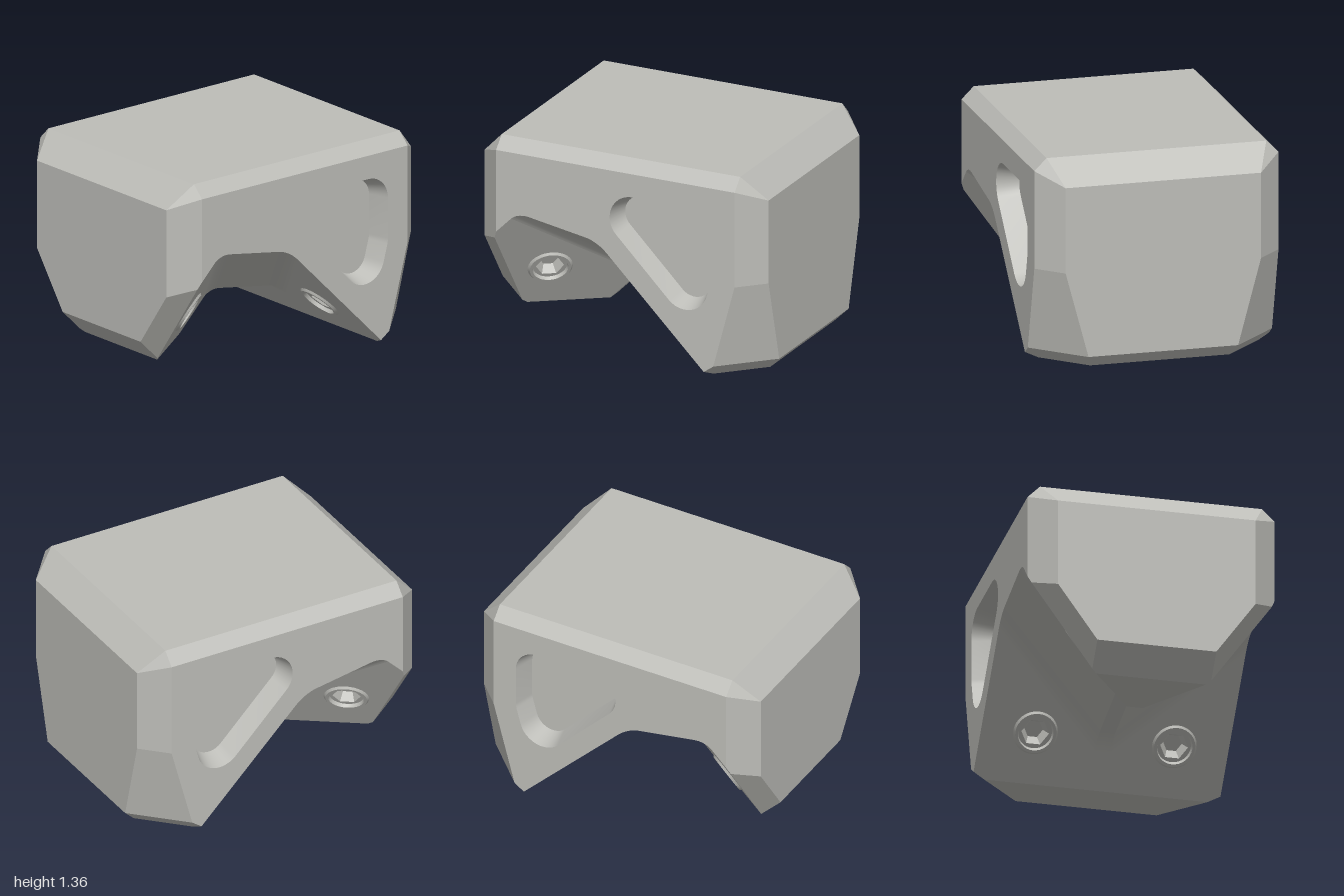
import * as THREE from 'three';
import { mergeGeometries, toCreasedNormals } from 'three/addons/utils/BufferGeometryUtils.js';

const R2 = Math.SQRT2, RAD = Math.PI / 180;
const V = (x, y, z) => new THREE.Vector3(x, y, z);
// A plane keeps the side n.p <= d
const plane = (x, y, z, d) => ({ n: V(x, y, z), d });
const flip = p => ({ n: p.n.clone().negate(), d: -p.d });

// Local frame whose z axis is the given normal
function frame(normal, origin) {
  const n = normal.clone().normalize();
  const u = (Math.abs(n.y) < 0.9 ? V(0, 1, 0) : V(1, 0, 0)).cross(n).normalize();
  return new THREE.Matrix4().makeBasis(u, n.clone().cross(u), n).setPosition(origin);
}

// Convex face of a plane, trimmed by other planes
function faceOf(p, cutters) {
  const m = frame(p.n, p.n.clone().multiplyScalar(p.d / p.n.lengthSq()));
  let pts = [[-5, -5], [5, -5], [5, 5], [-5, 5]].map(([x, y]) => V(x, y, 0).applyMatrix4(m));
  for (const c of cutters) {
    const out = [];
    pts.forEach((a, i) => {
      const b = pts[(i + 1) % pts.length];
      const da = c.n.dot(a) - c.d, db = c.n.dot(b) - c.d;
      if (da <= 1e-9) out.push(a);
      if ((da <= 1e-9) !== (db <= 1e-9)) out.push(a.clone().lerp(b, da / (da - db)));
    });
    pts = out;
  }
  pts = pts.filter((a, i) => a.distanceTo(pts[(i + 1) % pts.length]) > 1e-5);
  return { m, pts };
}

// Flat geometry for a face, with optional holes given as 3D loops
function fill({ m, pts }, holes = []) {
  const inv = m.clone().invert();
  const flat = loop => loop.map(q => { const l = q.clone().applyMatrix4(inv); return new THREE.Vector2(l.x, l.y); });
  const shape = new THREE.Shape(flat(pts));
  shape.holes = holes.map(h => new THREE.Path(flat(h)));
  return new THREE.ShapeGeometry(shape).applyMatrix4(m).toNonIndexed();
}

// Band of quads between two matching loops
function loft(a, b) {
  const pos = [];
  a.forEach((p, i) => {
    const j = (i + 1) % a.length;
    for (const q of [p, a[j], b[i], a[j], b[j], b[i]]) pos.push(q.x, q.y, q.z);
  });
  const g = new THREE.BufferGeometry();
  g.setAttribute('position', new THREE.Float32BufferAttribute(pos, 3));
  g.computeVertexNormals();
  return g;
}

const ring = (r, z, n = 32) => Array.from({ length: n }, (_, i) =>
  V(r * Math.cos(i / n * 2 * Math.PI), r * Math.sin(i / n * 2 * Math.PI), z));

// Join geometries, add their mirror image across z = 0, and smooth shallow edges
function bothSides(list, crease) {
  const half = mergeGeometries(list.map(g => { g.deleteAttribute('uv'); return g; }));
  const other = half.clone().scale(1, 1, -1);
  for (const a of Object.values(other.attributes)) {
    for (let i = 0; i < a.count; i += 3) {
      for (let k = 0; k < 3; k++) {
        const s = a.getComponent(i + 1, k);
        a.setComponent(i + 1, k, a.getComponent(i + 2, k));
        a.setComponent(i + 2, k, s);
      }
    }
  }
  const g = mergeGeometries([half, other]);
  g.computeVertexNormals();
  return crease ? toCreasedNormals(g, crease) : g;
}

// Outside of the block (z >= 0 half)
const outer = [
  plane(0, 0, 1, 0.8), plane(0, 1, 0, 1.36), plane(0, 1, 1, 2.08),
  plane(1, -1, 0, 0.92), plane(1, -0.268, 1, 1.4685), plane(1, -R2, 1, 1.377),
  plane(-1, -1, R2, 1.285), plane(-1, -1, 0, 0.74),
];
for (const s of [-1, 1]) {
  outer.push(plane(s, 0, 0, 1), plane(s, 1, 0, 2.2), plane(s, 0, 1, 1.64), plane(1.5 * s, 1, 1, 3.34));
}

// Underside notch: two square seats joined by a sloping web with rounded corners
const seatA = V(-1, -1, 0).divideScalar(R2), seatB = V(1, -1, R2).divideScalar(2);
const dA = -0.463, dB = -0.2185, dWeb = -0.353 / R2, FILLET = 0.17, STEPS = 10;
function notchPlanes() {
  const at = (deg, d) => {
    const n = seatA.clone().multiplyScalar(Math.cos(deg * RAD)).addScaledVector(seatB, Math.sin(deg * RAD));
    return { n, d };
  };
  const list = [at(0, dA)];
  const addFillet = (from, cu, cv) => {
    for (let i = 1; i < STEPS; i++) {
      const t = from + 45 * i / STEPS;
      list.push({ ...at(t, cu * Math.cos(t * RAD) + cv * Math.sin(t * RAD) - FILLET), round: true });
    }
  };
  const web = (dWeb + FILLET) * R2;
  addFillet(0, dA + FILLET, web - dA - FILLET);
  list.push(at(45, dWeb));
  addFillet(45, web - dB - FILLET, dB + FILLET);
  list.push(at(90, dB));
  return list;
}

// Rounded triangular pocket outline
function pocketLoop(r, z) {
  const corners = [[0.49, 0.59, 225, 345, 12], [0.52, 0.7, 345, 360, 3], [0.52, 0.965, 0, 90, 10], [0.12, 0.965, 90, 225, 14]];
  return corners.flatMap(([x, y, a, b, n]) => Array.from({ length: n + 1 }, (_, i) => {
    const t = (a + (b - a) * i / n) * RAD;
    return V(x + r * Math.cos(t), y + r * Math.sin(t), z);
  })).filter((p, i, all) => p.distanceTo(all[(i + 1) % all.length]) > 1e-5);
}

export function createModel() {
  const model = new THREE.Group();
  const grey = new THREE.MeshStandardMaterial({ color: 0xbdbdb8 });
  grey.name = 'light grey';
  const add = (name, geometry) => {
    const mesh = new THREE.Mesh(geometry, grey);
    mesh.name = name;
    model.add(mesh);
  };

  // Bolt positions on the two seats
  const SCREW = 0.144;
  const boltA = frame(seatA, V(0.41, -dA * R2 - 0.41, 0.45));
  const boltB = frame(seatB, V(-0.645, 0.395, (2 * dB + 0.645 + 0.395) / R2));
  const boltHole = m => ring(SCREW, 0).map(p => p.applyMatrix4(m));

  // Block, made in a main slab and a thin middle slab that blunts the ridge
  const RIDGE = 0.05, flats = [], rounds = [];
  const notch = notchPlanes();
  const blunt = notch.map(p => ({ ...p, n: V(p.n.x, p.n.y, 0), d: p.d - p.n.z * RIDGE }));
  const slabs = [
    { cuts: notch, ends: [plane(0, 0, -1, -RIDGE)], main: true },
    { cuts: blunt, ends: [plane(0, 0, -1, 0), plane(0, 0, 1, RIDGE)], main: false },
  ];
  for (const { cuts, ends, main } of slabs) {
    cuts.forEach((cut, i) => {
      const skin = [...outer, plane(0, -1, 0, i === 0 ? 0 : -0.1)];
      const limits = [cut, ...cuts.slice(0, i).map(flip), ...ends];
      skin.forEach((p, k) => {
        const face = faceOf(p, [...skin.filter(q => q !== p), ...limits]);
        const pocketed = main && i === 0 && k === 0;
        if (face.pts.length > 2) flats.push(fill(face, pocketed ? [pocketLoop(0.16, 0.8)] : []));
      });
      const seat = faceOf(cut, [...skin, ...ends, ...cuts.filter(q => q !== cut).map(flip)]);
      const holes = !main ? [] : i === 0 ? [boltHole(boltA)] : i === cuts.length - 1 ? [boltHole(boltB)] : [];
      if (seat.pts.length > 2) (cut.round ? rounds : flats).push(fill(seat, holes));
    });
  }
  add('block', bothSides(flats));
  add('notchFillets', bothSides(rounds, 0.2));

  // Side pockets with sloping walls
  const floorZ = 0.66, inner = pocketLoop(0.12, floorZ);
  add('pocketWalls', bothSides([loft(pocketLoop(0.16, 0.8), inner)], 0.4));
  add('pocketFloors', bothSides([fill({ m: frame(V(0, 0, 1), V(0, 0, floorZ)), pts: inner })]));

  // Hex socket bolts with raised collars
  const bolt = m => {
    const profile = [[SCREW, 0], [0.132, 0.014], [0.114, 0.014], [0.108, -0.01]];
    const parts = profile.slice(1).map(([r, z], i) => loft(ring(...profile[i]), ring(r, z)));
    const local = z => new THREE.Matrix4().makeTranslation(0, 0, z);
    const rim = ring(0.09, -0.01, 6), base = ring(0.06, -0.07, 6);
    parts.push(fill({ m: local(-0.01), pts: ring(0.108, -0.01) }, [rim]), loft(rim, base), fill({ m: local(-0.07), pts: base }));
    return parts.map(g => g.applyMatrix4(m));
  };
  add('seatBolts', bothSides([...bolt(boltA), ...bolt(boltB)], 0.4));

  return model;
}
